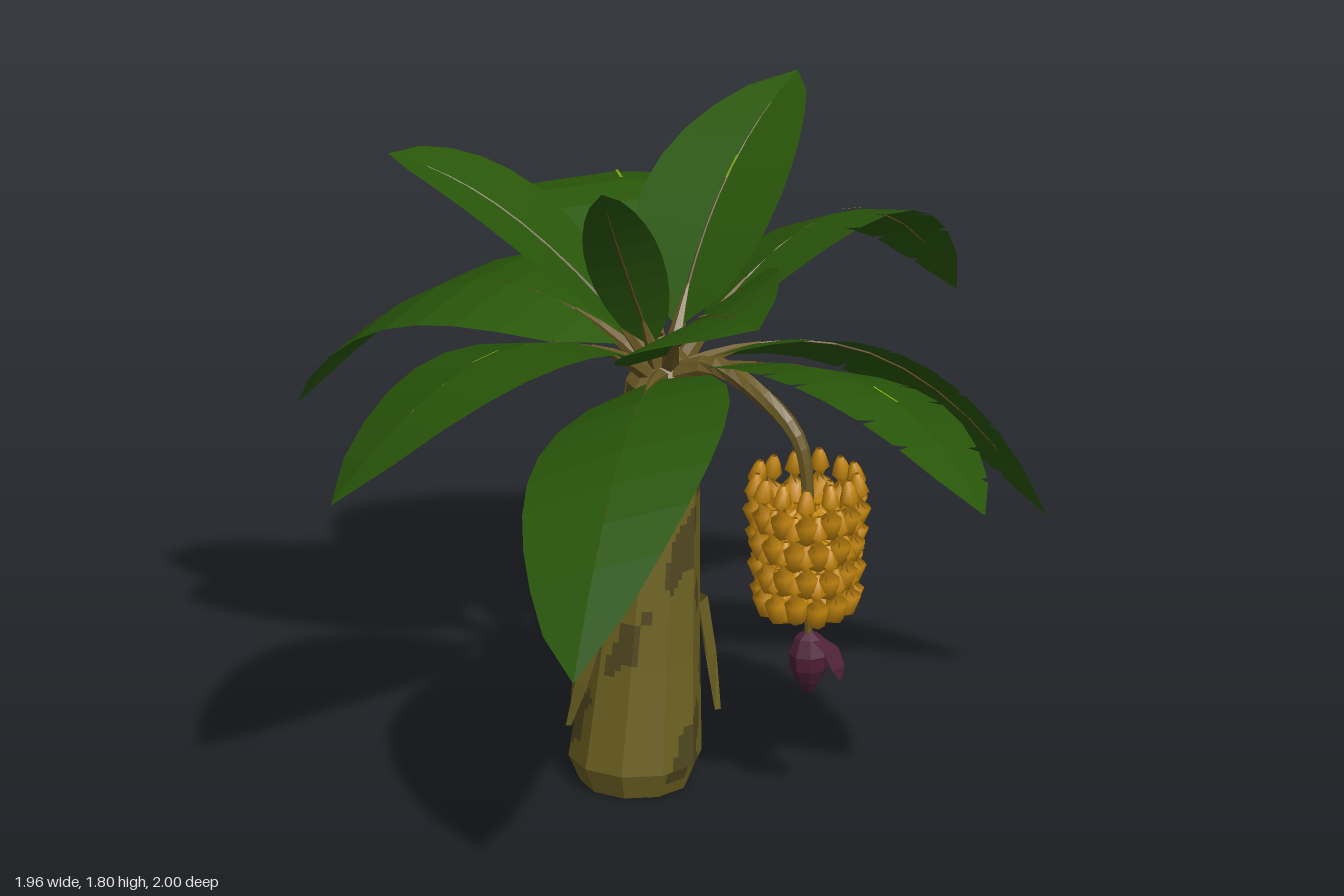
import * as THREE from 'three';
import { mergeVertices } from 'three/addons/utils/BufferGeometryUtils.js';

const V = (x, y, z) => new THREE.Vector3(x, y, z);
const mat = (name, color) => Object.assign(new THREE.MeshStandardMaterial({ color, side: THREE.DoubleSide }), { name });

// Flat-shaded geometry from quads given as four corners each
function quadGeometry(quads) {
  const pos = [];
  for (const [a, b, c, d] of quads) for (const p of [a, b, c, a, c, d]) pos.push(p.x, p.y, p.z);
  const g = new THREE.BufferGeometry();
  g.setAttribute('position', new THREE.Float32BufferAttribute(pos, 3));
  g.computeVertexNormals();
  return g;
}

// Shared corners give smooth normals
function smooth(geometry) {
  geometry.deleteAttribute('normal');
  const g = mergeVertices(geometry, 1e-5);
  g.computeVertexNormals();
  return g;
}

// Tapered tube through centres with one radius per centre
function loft(centres, radii, sides) {
  const ref = centres[centres.length - 1].clone().sub(centres[0]).normalize();
  const aux = Math.abs(ref.y) > 0.8 ? V(1, 0, 0) : V(0, 1, 0);
  const rings = centres.map((c, i) => {
    const t = centres[Math.min(i + 1, centres.length - 1)].clone().sub(centres[Math.max(i - 1, 0)]).normalize();
    const a = aux.clone().addScaledVector(t, -aux.dot(t)).normalize();
    const b = t.clone().cross(a);
    return Array.from({ length: sides }, (_, k) => {
      const ang = k / sides * Math.PI * 2;
      return c.clone().addScaledVector(a, Math.cos(ang) * radii[i]).addScaledVector(b, Math.sin(ang) * radii[i]);
    });
  });
  const quads = [];
  for (let i = 0; i + 1 < rings.length; i++) for (let k = 0; k < sides; k++) {
    const m = (k + 1) % sides;
    quads.push([rings[i][k], rings[i][m], rings[i + 1][m], rings[i + 1][k]]);
  }
  return quadGeometry(quads);
}

// Leaves: tip, middle of rib, half width, side tilt, fold, torn edge
const LEAVES = [
  [[-0.09, 1.07, -1.0], [-0.1, 1.45, -0.57], 0.265, 0, -0.08, false],
  [[-0.25, 1.8, 0.34], [-0.17, 1.51, 0.13], 0.115, -0.4, 0.1, false],
  [[0.36, 1.77, -0.49], [0.13, 1.54, -0.25], 0.215, 0.15, 0.15, false],
  [[-0.75, 1.71, -0.2], [-0.42, 1.54, -0.12], 0.2, 0, 0.1, false],
  [[0.11, 1.6, 0.81], [0.0, 1.47, 0.42], 0.23, -0.5, 0.08, false],
  [[-0.93, 0.79, -0.71], [-0.52, 1.25, -0.4], 0.285, 0, -0.08, false],
  [[-0.98, 1.02, 0.5], [-0.52, 1.34, 0.29], 0.28, -0.28, -0.08, false],
  [[-0.4, 0.7, 1.0], [-0.23, 1.17, 0.6], 0.285, -0.4, -0.08, false],
  [[0.71, 1.02, 0.76], [0.42, 1.27, 0.42], 0.27, 0.35, -0.08, true],
  [[0.98, 0.6, -0.19], [0.52, 1.12, -0.1], 0.28, 0.5, -0.08, true],
  [[0.78, 1.12, -0.5], [0.44, 1.45, -0.28], 0.25, 0.42, -0.08, true],
];

export function createModel() {
  const root = new THREE.Group();
  root.name = 'bananaPalm';
  const leafGreen = mat('leafGreen', 0x2a580a), ribBrown = mat('ribBrown', 0x5a4620);
  const stalkOlive = mat('stalkOlive', 0x6a5824), bark = mat('bark', 0x6e6222), darkBark = mat('darkBark', 0x50471f);
  const bananaYellow = mat('bananaYellow', 0xc4860c), budPurple = mat('budPurple', 0x4e2036), fleckGreen = mat('fleckGreen', 0x86a80c);
  const add = (parent, name, geometry, material) => {
    const m = new THREE.Mesh(geometry, material);
    m.name = name;
    parent.add(m);
    return m;
  };

  // Trunk: ten-sided leaning column, [y, radius, x, z]
  const rows = [[0, 0.145, -0.125, 0.02], [0.07, 0.175, -0.125, 0.015], [0.35, 0.152, -0.105, 0.008], [1.0, 0.106, -0.058, 0], [1.12, 0.098, -0.05, 0]];
  const trunkPoint = (k, y, grow = 0) => {
    let i = 0;
    while (i < rows.length - 2 && y > rows[i + 1][0]) i++;
    const f = (y - rows[i][0]) / (rows[i + 1][0] - rows[i][0]);
    const [r, x, z] = [1, 2, 3].map(j => THREE.MathUtils.lerp(rows[i][j], rows[i + 1][j], f));
    const corner = n => V(Math.cos(n * Math.PI / 5), 0, Math.sin(n * Math.PI / 5));
    const p = corner(Math.floor(k)).lerp(corner(Math.floor(k) + 1), k - Math.floor(k));
    return p.multiplyScalar(r + grow).add(V(x, y, z));
  };
  const ys = [0, 0.035, 0.07];
  for (let i = 1; i <= 56; i++) ys.push(0.07 + 1.05 * i / 56);
  const plain = [], patches = [];
  for (let i = 0; i + 1 < ys.length; i++) for (let j = 0; j < 60; j++) {
    // Blotches are rarest on the front left
    const k = j / 6, a = j / 60 * Math.PI * 2, y = ys[i];
    const noise = Math.sin(2 * a + 9 * y) + Math.sin(3 * a - 13 * y + 1) + Math.sin(5 * a + 21 * y + 2) + 0.4 * Math.sin(9 * a - 38 * y) - 0.8 * Math.cos(a - 2.1);
    (noise > 0.95 ? patches : plain).push([trunkPoint(k, y), trunkPoint(k, ys[i + 1]), trunkPoint(k + 1 / 6, ys[i + 1]), trunkPoint(k + 1 / 6, y)]);
  }
  add(root, 'trunk', quadGeometry(plain), bark);
  add(root, 'trunkPatches', quadGeometry(patches), darkBark);
  const foot = add(root, 'trunkFoot', new THREE.CircleGeometry(0.145, 10), bark);
  foot.rotation.x = Math.PI / 2;
  foot.position.set(-0.125, 0.001, 0.02);
  add(root, 'crownHeart', loft([V(-0.05, 1.12, 0), V(-0.047, 1.18, 0), V(-0.06, 1.25, 0.01)], [0.098, 0.06, 0.01], 10), stalkOlive);

  // Peeling bark: ridged, pointed strips standing off the trunk
  for (const [k, top, length] of [[0, 0.5, 0.32], [4.5, 0.42, 0.24], [7.6, 0.56, 0.33]]) {
    const at = (s, f) => trunkPoint(k + 10 + s * (f < 1 ? 0.5 - 0.2 * f : 0.05), top - f * length, 0.006 + 0.032 * Math.sqrt(f) + (s ? 0 : 0.014));
    const strips = [];
    for (const s of [-1, 0]) for (const f of [0, 0.5]) strips.push([at(s, f), at(s + 1, f), at(s + 1, f + 0.5), at(s, f + 0.5)]);
    add(root, 'barkStrip', quadGeometry(strips), bark);
  }

  // Leaves with stalk and rib
  LEAVES.forEach(([tipXYZ, midXYZ, half, tilt, fold, torn], n) => {
    const leaf = new THREE.Group();
    leaf.name = 'leaf' + (n + 1);
    root.add(leaf);
    const tip = V(...tipXYZ), mid = V(...midXYZ);
    const upper = tip.y > 1.5;
    const dir = V(tip.x + 0.045, 0, tip.z).normalize();
    const base = V(-0.045, upper ? 1.18 : 1.14, 0).addScaledVector(dir, 0.04);
    const control = mid.clone().multiplyScalar(2).addScaledVector(base, -0.5).addScaledVector(tip, -0.5);
    const curve = new THREE.QuadraticBezierCurve3(base, control, tip);
    const side = V(-dir.z, tilt, dir.x).normalize();
    const point = (u, v, lift = 0) => {
      const t = 0.07 + 0.93 * u;
      const w = half * Math.pow(Math.max(0, Math.sin(Math.PI * Math.pow(u, 0.82))), 0.68);
      const up = side.clone().cross(curve.getTangent(t)).normalize();
      return curve.getPoint(t).addScaledVector(side, v * w).addScaledVector(up, fold * Math.abs(v) * w + lift);
    };
    const quads = [], N = 9, cols = [-1, -0.72, 0, 0.72, 1];
    for (let i = 0; i < N; i++) for (let j = 0; j < 4; j++) {
      // Torn leaves leave a narrow gap between strips at the edge
      const at = (r, c) => {
        const gap = torn && Math.abs(cols[c]) === 1 && r > 2 && r < N && (r + c) % 3 ? 0.009 : 0;
        return point(r / N + (r === i ? gap : -gap), cols[c]);
      };
      quads.push([at(i, j), at(i, j + 1), at(i + 1, j + 1), at(i + 1, j)]);
    }
    add(leaf, 'blade', quadGeometry(quads), leafGreen);
    const along = (a, b, count, drop = 0) => Array.from({ length: count }, (_, i) => curve.getPoint(a + (b - a) * i / (count - 1)).sub(V(0, drop, 0)));
    add(leaf, 'stalk', loft(along(0, 0.2, 4), [0.028, 0.02, 0.012, 0.004], 6), stalkOlive);
    // Low leaves carry the rib on the underside
    add(leaf, 'rib', loft(along(0.12, 0.85, 9, upper ? 0 : 0.004), [6, 5, 4, 3.5, 3, 3, 2.5, 2, 1].map(r => r / 1000), 4), ribBrown);
    if (n % 2 === 0) {
      const u = 0.45 + 0.03 * (n % 3);
      add(leaf, 'fleck', quadGeometry([[point(u, 0.0, 0.006), point(u, 0.03, 0.006), point(u + 0.09, 0.03, 0.006), point(u + 0.09, 0.0, 0.006)]]), fleckGreen);
    }
  });

  // Fruit stem arching out and down to the bud
  const arch = new THREE.CatmullRomCurve3([V(-0.02, 1.15, 0.04), V(0.08, 1.2, 0.12), V(0.19, 1.15, 0.22), V(0.27, 1.06, 0.275), V(0.295, 0.95, 0.29), V(0.295, 0.72, 0.29), V(0.3, 0.48, 0.29)]);
  const archPoints = arch.getPoints(18);
  add(root, 'fruitStem', loft(archPoints, archPoints.map((_, i) => 0.032 - 0.022 * i / 18), 7), stalkOlive);

  // Banana bunch: tiers of long upturned fruit
  const bunch = new THREE.Group();
  bunch.name = 'bananaBunch';
  bunch.position.set(0.295, 0, 0.29);
  root.add(bunch);
  const path = [[0.03, 0.04], [0.09, 0.004], [0.124, 0.018], [0.138, 0.06], [0.136, 0.1], [0.13, 0.135], [0.128, 0.152]];
  for (let tier = 0; tier < 4; tier++) {
    const spread = 0.88 + 0.045 * tier, y = 0.572 + 0.082 * tier;
    const fruit = smooth(loft(path.map(([r, h]) => V(r * spread, y + h, 0)), [0.01, 0.018, 0.026, 0.03, 0.027, 0.017, 0.008], 8));
    for (let k = 0; k < 13; k++) {
      const m = add(bunch, 'banana', fruit, bananaYellow);
      m.rotation.y = (k + (tier % 2) / 2) / 13 * Math.PI * 2;
      m.position.y = 0.006 * Math.sin(k * 2.3 + tier);
    }
  }

  // Flower bud with one lifted petal
  const bud = new THREE.Group();
  bud.name = 'flowerBud';
  bud.position.set(0.3, 0, 0.29);
  root.add(bud);
  add(bud, 'budBody', loft([0.51, 0.495, 0.45, 0.41, 0.37, 0.33].map(y => V(0, y, 0)), [0.012, 0.036, 0.053, 0.05, 0.03, 0.002], 8), budPurple);
  const petal = (r, y, w) => [V(r, y, -w), V(r, y, w)];
  const steps = [petal(0.03, 0.495, 0.02), petal(0.075, 0.475, 0.03), petal(0.1, 0.43, 0.025), petal(0.105, 0.4, 0.006)];
  const lifted = add(bud, 'budPetal', quadGeometry(steps.slice(1).map((s, i) => [steps[i][0], steps[i][1], s[1], s[0]])), budPurple);
  lifted.rotation.y = -Math.PI / 4;
  return root;
}
